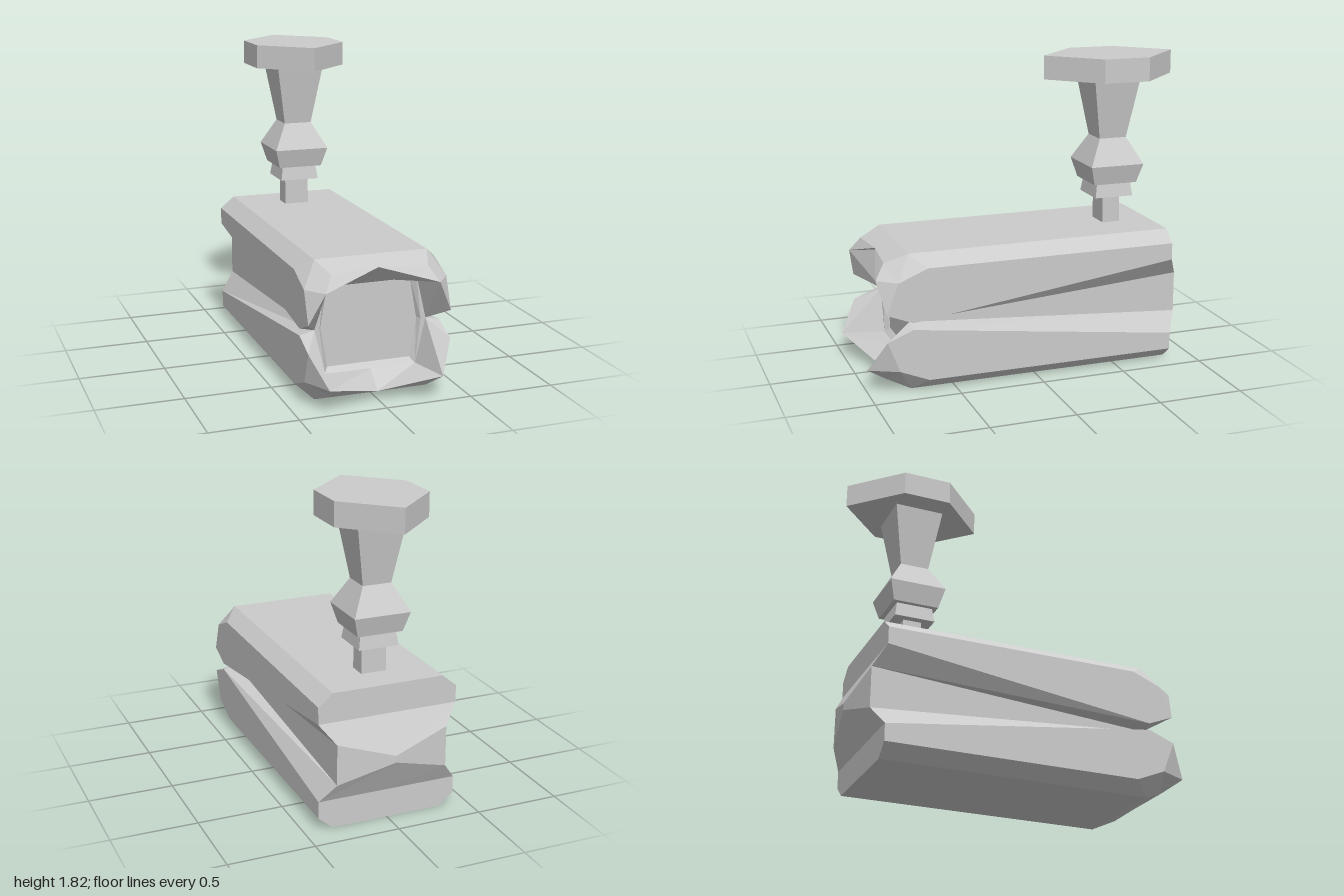
import * as THREE from 'three';

const material = new THREE.MeshStandardMaterial({ color: 0xcccccc, flatShading: true });
const MID = 0.4; // height of the head's horizontal mirror plane

// Collects flat polygons; each is turned to face its hint direction.
function facets() {
  const data = [];
  const add = (sx, sy, hint, ...pts) => {
    const p = pts.map(([x, h, z]) => new THREE.Vector3(x * sx, MID + h * sy, z));
    const dir = new THREE.Vector3(hint[0] * sx, hint[1] * sy, hint[2]);
    const normal = new THREE.Vector3();
    for (let i = 1; i < p.length - 1; i++) {
      normal.add(p[i].clone().sub(p[0]).cross(p[i + 1].clone().sub(p[0])));
    }
    if (normal.dot(dir) < 0) p.reverse();
    for (let i = 1; i < p.length - 1; i++) {
      for (const v of [p[0], p[i], p[i + 1]]) data.push(v.x, v.y, v.z);
    }
  };
  const geometry = () => {
    const g = new THREE.BufferGeometry();
    g.setAttribute('position', new THREE.Float32BufferAttribute(data, 3));
    g.computeVertexNormals();
    return g;
  };
  return { add, geometry };
}

function mesh(name, geometry) {
  const m = new THREE.Mesh(geometry, material);
  m.name = name;
  return m;
}

// One quarter of the head, mirrored to all four: points are [x, height from MID, z]
function buildHead() {
  const shell = facets();
  const recess = facets();
  for (const sy of [1, -1]) {
    const rimZ = sy > 0 ? 0.94 : 1.0;
    // back ring
    const backMid = [0, 0.4, -0.84], backTop = [0.33, 0.4, -0.84], backSide = [0.415, 0.33, -0.84];
    const backLow = [0.415, 0.23, -0.84], backLowMid = [0, 0.23, -0.84];
    const grooveBack = [0.33, 0.12, -0.9], apex = [0, 0.02, -0.95];
    // front ring
    const topMid = [0, 0.4, 0.75], top = [0.33, 0.4, 0.75], side = [0.415, 0.33, 0.66];
    const cheek = [0.415, 0.26, 0.83], tip = [0.415, 0.08, 0.9], lip = [0.415, 0.02, 0.75];
    // rim of the mouth and its recess
    const rimMid = [0, 0.355, 0.86], brow = [0.28, 0.345, 0.88], rim = [0.33, 0.26, rimZ];
    const notch = [0.33, 0, 0.75];
    const hexMid = [0, 0.26, 0.75], hexTop = [0.27, 0.26, 0.75], hexSide = [0.3, 0, 0.75];
    const inMid = [0, 0.23, 0.72], inTop = [0.245, 0.23, 0.72], inSide = [0.285, 0, 0.72];

    for (const sx of [1, -1]) {
      const s = (...a) => shell.add(sx, sy, ...a);
      const r = (...a) => recess.add(sx, sy, ...a);
      // long faces
      s([0, 1, 0], backMid, backTop, top, topMid);
      s([1, 1, 0], backTop, backSide, side, top);
      s([1, 0, 0], backLow, backSide, side, cheek, tip, lip);
      // tapering side groove
      s([0, -1, 0], backLow, lip, notch, grooveBack);
      s([1, 0, 0], notch, grooveBack, [0.33, 0, -0.9]);
      // back end
      s([0, 0, -1], backMid, backTop, backSide, backLow, backLowMid);
      s([0, 1, -1], backLowMid, backLow, grooveBack, apex);
      s([0, 0, -1], apex, grooveBack, [0.33, 0, -0.9], [0, 0, -0.95]);
      // front bevels and notched rim
      s([0, 1, 1], topMid, top, brow, rimMid);
      s([0, 1, 1], rimMid, brow, rim);
      s([1, 1, 1], top, side, cheek);
      s([1, 1, 1], top, cheek, brow);
      s([1, 1, 1], brow, cheek, rim);
      s([1, 0, 1], cheek, tip, rim);
      s([0, 0, 1], rim, tip, notch);
      s([0, -1, 0.5], tip, lip, notch);
      // recess walls and floor
      r([0, -1, 1], rimMid, rim, hexTop, hexMid);
      r([-1, 0, 0.5], rim, notch, hexTop);
      r([-1, 0, 0.5], notch, hexSide, hexTop);
      r([0, -1, 0], hexMid, hexTop, inTop, inMid);
      r([-1, 0, 0], hexTop, hexSide, inSide, inTop);
      r([0, 0, 1], inMid, inTop, inSide, [0, 0, 0.72]);
    }
  }
  const head = new THREE.Group();
  head.name = 'head';
  head.add(mesh('headShell', shell.geometry()), mesh('headRecess', recess.geometry()));
  return head;
}

// Square tapered block with half-widths given at bottom and top
function taper(name, y0, y1, r0, r1, zScale = 1) {
  const g = new THREE.CylinderGeometry(r1 * Math.SQRT2, r0 * Math.SQRT2, y1 - y0, 4);
  g.rotateY(Math.PI / 4).scale(1, 1, zScale).translate(0, (y0 + y1) / 2, 0);
  return mesh(name, g);
}

function buildHandle() {
  const handle = new THREE.Group();
  handle.name = 'handle';
  handle.add(
    taper('neck', 0.78, 0.97, 0.075, 0.075, 0.73),
    taper('collar', 0.965, 1.05, 0.12, 0.107),
    taper('knobLower', 1.05, 1.165, 0.135, 0.167),
    taper('knobUpper', 1.165, 1.32, 0.167, 0.085),
    taper('grip', 1.32, 1.68, 0.085, 0.145),
  );
  // stretched hexagonal end cap
  const outline = [[0, 0.41], [0.277, 0.14], [0.277, -0.14], [0, -0.41], [-0.277, -0.14], [-0.277, 0.14]];
  const shape = new THREE.Shape(outline.map(([x, y]) => new THREE.Vector2(x, y)));
  const cap = new THREE.ExtrudeGeometry(shape, { depth: 0.14, bevelEnabled: false });
  cap.rotateX(-Math.PI / 2).translate(0, 1.68, 0);
  handle.add(mesh('endCap', cap));
  handle.position.z = -0.59;
  return handle;
}

export function createModel() {
  const model = new THREE.Group();
  model.name = 'hammer';
  model.add(buildHead(), buildHandle());
  return model;
}
